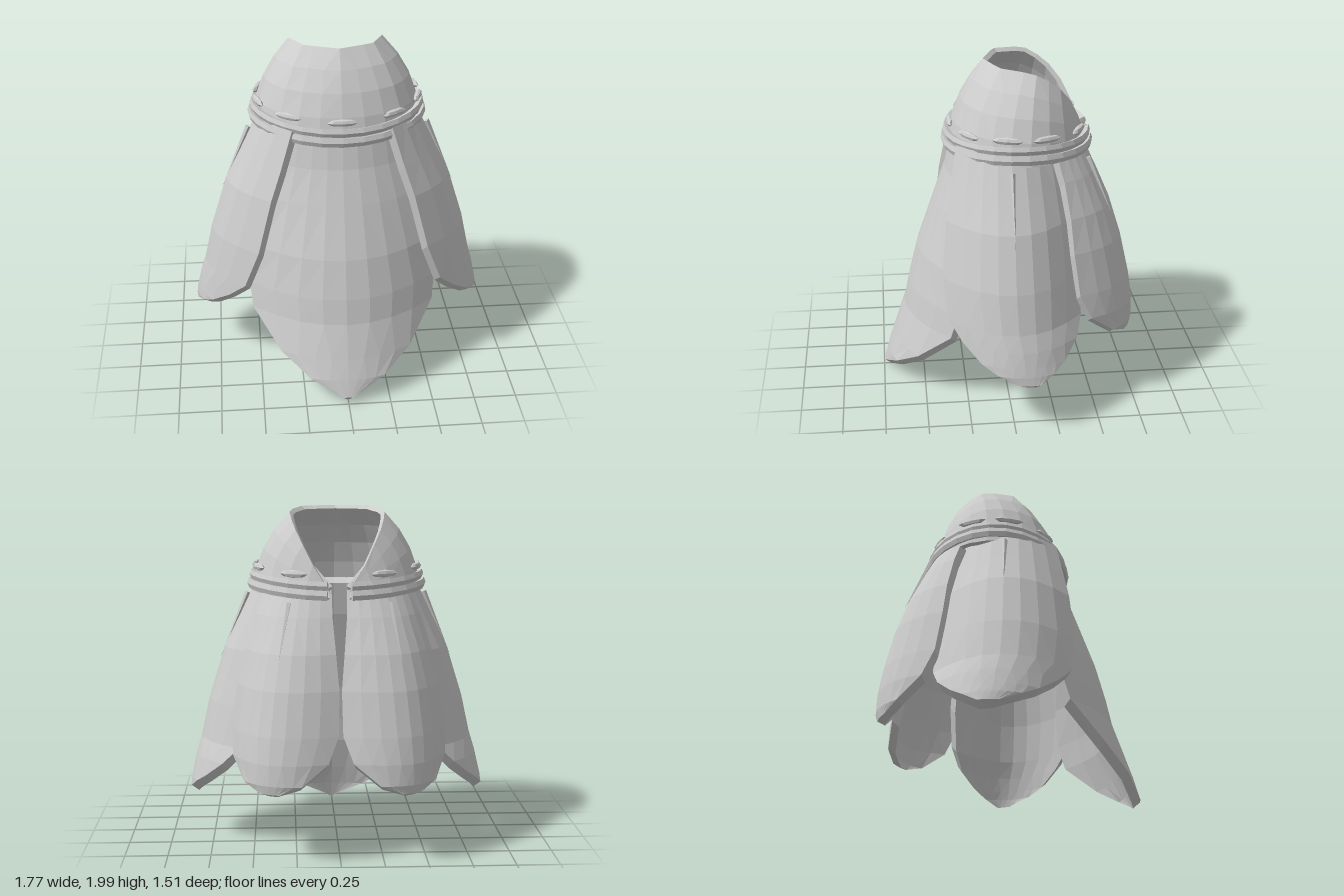
import * as THREE from 'three';

const cloth = new THREE.MeshStandardMaterial({ color: 0xcccccc });
cloth.name = 'pale grey cloth';

// Faceted mesh
function faceted(geometry, name) {
  const geo = geometry.index ? geometry.toNonIndexed() : geometry;
  geo.computeVertexNormals();
  const mesh = new THREE.Mesh(geo, cloth);
  mesh.name = name;
  return mesh;
}

// Closed sheet of cloth: fn(i, j) gives the outer face, the lining lies `thick` behind it and `drop` lower
function shell(name, nu, nv, thick, drop, fn) {
  const outer = [], index = [], W = nu + 1, N = W * (nv + 1);
  for (let j = 0; j <= nv; j++) for (let i = 0; i <= nu; i++) outer.push(...fn(i, j));
  const quad = (a, b, c, d) => index.push(a, b, c, a, c, d);
  // Diagonals are mirrored about the middle column
  for (let j = 0; j < nv; j++) for (let i = 0; i < nu; i++) {
    const a = j * W + i;
    if (i < nu / 2) quad(a, a + 1, a + W + 1, a + W);
    else quad(a + 1, a + W + 1, a + W, a);
  }
  const face = new THREE.BufferGeometry();
  face.setAttribute('position', new THREE.Float32BufferAttribute(outer, 3));
  face.setIndex([...index]);
  face.computeVertexNormals();
  const n = face.attributes.normal.array;
  const inner = outer.map((p, k) => p - n[k] * thick - (k % 3 === 1 ? drop : 0));
  // Lining
  for (let j = 0; j < nv; j++) for (let i = 0; i < nu; i++) {
    const a = N + j * W + i;
    if (i < nu / 2) quad(a, a + W, a + W + 1, a + 1);
    else quad(a + 1, a, a + W, a + W + 1);
  }
  // Rim around all four edges
  const rim = (a, b) => quad(a, a + N, b + N, b);
  for (let i = 0; i < nu; i++) {
    rim(i, i + 1);
    rim(nv * W + i + 1, nv * W + i);
  }
  for (let j = 0; j < nv; j++) {
    rim((j + 1) * W, j * W);
    rim(j * W + nu, (j + 1) * W + nu);
  }
  const geo = new THREE.BufferGeometry();
  geo.setAttribute('position', new THREE.Float32BufferAttribute([...outer, ...inner], 3));
  geo.setIndex(index);
  return faceted(geo, name);
}

const rad = THREE.MathUtils.degToRad;
const END = 173, RX = 0.5, RZ = 0.418, CZ = -0.085;
// Shoulder line, open at the back; grow moves it outward
const ring = (a, grow = 0) => [(RX + grow) * Math.sin(a), CZ + (RZ + grow) * Math.cos(a)];
// The hem rises a little over the shoulders
const rise = (a) => 0.035 * Math.sin(a) ** 2;

// Neck edge: angle from the front, x, y, z
const NECK = [
  [0, 0, 2, 0.11], [45, 0.2, 2, 0.035], [90, 0.28, 1.985, -0.15], [120, 0.26, 1.91, -0.285],
  [145, 0.195, 1.78, -0.39], [165, 0.12, 1.63, -0.455], [END, 0.065, 1.56, -0.475],
];
function neck(deg) {
  const d = Math.abs(deg);
  let k = 0;
  while (k < NECK.length - 2 && d > NECK[k + 1][0]) k++;
  const [p, q] = [NECK[k], NECK[k + 1]], t = (d - p[0]) / (q[0] - p[0]);
  const [x, y, z] = [1, 2, 3].map((c) => p[c] + (q[c] - p[c]) * t);
  return [deg < 0 ? -x : x, y, z];
}

function makeCollar() {
  const nu = 22, nv = 4;
  return shell('collar', nu, nv, 0.03, 0, (i, j) => {
    const deg = (i / nu * 2 - 1) * END, a = rad(deg), v = j / nv;
    const [bx, bz] = ring(a), T = neck(deg), by = 1.51;
    const f = 0.89 - 0.02 * Math.cos(a) + 0.06 * Math.sin(a) ** 2;
    const C = [bx * f, by + 0.6 * (T[1] - by), CZ + (bz - CZ) * f];
    return [bx, by, bz].map((b, c) => b * (1 - v) ** 2 + 2 * C[c] * v * (1 - v) + T[c] * v * v);
  });
}

// Rolled hem strip
function makeBand(name, y0, y1, grow) {
  const nu = 26;
  return shell(name, nu, 2, 0.04, 0, (i, j) => {
    const a = rad((i / nu * 2 - 1) * (END - 1));
    const [x, z] = ring(a, grow + (j === 1 ? 0.01 : 0));
    return [x, y0 + (y1 - y0) * j / 2 + rise(a), z];
  });
}

// Petal rows from tip to top: height, distance outward, half width, optional sideways offset.
// bend gives the curl of the cross-section at the ground and at the hem
const PETALS = {
  frontPetal: { angle: 0, shift: 0, bend: [0.88, 0.88], rows: [
    [0.05, 0.745, 0.03], [0.15, 0.715, 0.22], [0.27, 0.675, 0.385], [0.47, 0.61, 0.54], [0.62, 0.58, 0.555],
    [0.85, 0.52, 0.5], [1.15, 0.415, 0.42], [1.35, 0.345, 0.36], [1.55, 0.3, 0.33]] },
  sidePetal: { angle: 90, shift: 0.01, bend: [1.3, 2], pleat: [[0.53, 1.49], [0.7, 1.09]], rows: [
    [0.33, 0.885, 0.06, 0.07], [0.38, 0.88, 0.16, 0.05], [0.43, 0.87, 0.24, 0.04], [0.52, 0.85, 0.33, 0.03],
    [0.62, 0.82, 0.385, 0.01], [0.85, 0.77, 0.4], [1.17, 0.67, 0.37], [1.35, 0.58, 0.34], [1.58, 0.47, 0.3]] },
  backPetal: { angle: 155, shift: -0.06, bend: [1.6, 1.7], pleat: [[0.55, 1.48], [0.7, 1.15]], rows: [
    [0.43, 0.825, 0.06], [0.48, 0.835, 0.18], [0.6, 0.83, 0.3], [0.75, 0.805, 0.335], [1, 0.745, 0.32],
    [1.2, 0.675, 0.285], [1.4, 0.58, 0.24], [1.55, 0.5, 0.21]] },
};

function makePetal(name, side, { angle, shift, bend, rows, pleat }) {
  const group = new THREE.Group();
  group.name = name;
  const a = rad(angle) * side, sin = Math.sin(a), cos = Math.cos(a);
  const place = (out, s, y) => [out * sin + s * cos, y, out * cos - s * sin];
  const nu = 8;
  group.add(shell(name + 'Sheet', nu, rows.length - 1, 0.045, 0.03, (i, j) => {
    const [y, out, w, offset = 0] = rows[j], s = (i / nu * 2 - 1) * w;
    const curl = THREE.MathUtils.lerp(bend[0], bend[1], y / 1.5);
    return place(out - curl * s * s, s + (shift + offset) * side, y);
  }));
  // Small sharp fold running down from the hem
  if (pleat) {
    const [top, tip] = pleat.map(([o, y]) => new THREE.Vector3(...place(o, shift * side, y)));
    const axis = tip.clone().sub(top);
    const fold = faceted(new THREE.ConeGeometry(0.016, axis.length(), 4), name + 'Pleat');
    fold.quaternion.setFromUnitVectors(new THREE.Vector3(0, 1, 0), axis.normalize());
    fold.position.copy(top).add(tip).multiplyScalar(0.5);
    group.add(fold);
  }
  return group;
}

function makeStitch(deg) {
  const a = rad(deg), f = 0.94 + 0.03 * Math.sin(a) ** 2;
  const [x, z] = ring(a);
  const geo = new THREE.SphereGeometry(1, 8, 4);
  geo.scale(0.09, 0.022, 0.02);
  const stitch = faceted(geo, 'stitch');
  stitch.position.set(x * f, 1.628 + rise(a), CZ + (z - CZ) * f);
  // Face along the outward normal of the oval
  stitch.rotation.y = Math.atan2(Math.sin(a) / RX, Math.cos(a) / RZ);
  return stitch;
}

export function createModel() {
  const model = new THREE.Group();
  model.name = 'petalCape';
  model.add(makeCollar());
  model.add(makeBand('lowerBand', 1.495, 1.55, 0.02));
  model.add(makeBand('upperBand', 1.55, 1.6, 0.006));
  for (const deg of [0, 40, 76, 108, 147]) {
    model.add(makeStitch(deg));
    if (deg) model.add(makeStitch(-deg));
  }
  model.add(makePetal('frontPetal', 1, PETALS.frontPetal));
  for (const [side, word] of [[1, 'left'], [-1, 'right']]) {
    model.add(makePetal(word + 'SidePetal', side, PETALS.sidePetal));
    model.add(makePetal(word + 'BackPetal', side, PETALS.backPetal));
  }
  return model;
}
